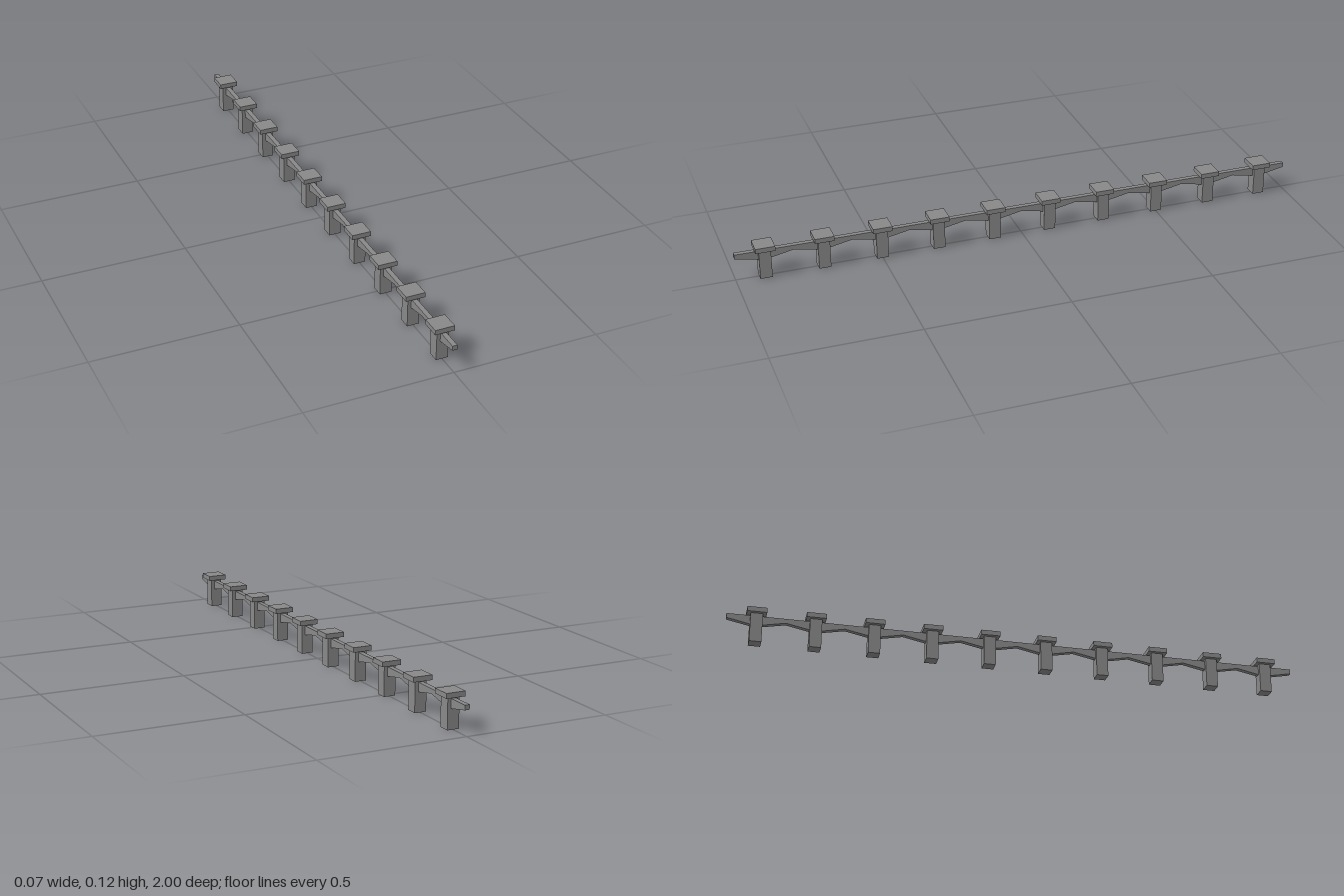
import * as THREE from 'three';

export function createModel() {
  const group = new THREE.Group();
  const material = new THREE.MeshStandardMaterial({ color: 0x888888, flatShading: true });
  const count = 10, bay = 0.2;
  const postWidth = 0.041, postHeight = 0.104;
  const capWidth = 0.067, capHeight = 0.017;
  const railWidth = 0.017, railTop = 0.099;

  const add = (parent, name, geometry, y = 0) => {
    const mesh = new THREE.Mesh(geometry, material);
    mesh.name = name;
    mesh.position.y = y;
    parent.add(mesh);
  };

  // One side of a tapered rail, running from the post face to mid-span
  const shape = new THREE.Shape();
  [[0.02, railTop], [0.02, 0.067], [0.1, 0.083], [0.1, railTop]]
    .forEach(([z, y], i) => (i ? shape.lineTo(z, y) : shape.moveTo(z, y)));
  const arm = new THREE.ExtrudeGeometry(shape, { depth: railWidth, bevelEnabled: false });
  arm.translate(0, 0, -railWidth / 2);
  const frontArm = arm.clone().rotateY(-Math.PI / 2);
  const backArm = arm.clone().rotateY(Math.PI / 2);

  const post = new THREE.BoxGeometry(postWidth, postHeight, postWidth);
  const cap = new THREE.BoxGeometry(capWidth, capHeight, capWidth);

  // Row of identical capped posts joined by the rails
  for (let i = 0; i < count; i++) {
    const unit = new THREE.Group();
    unit.name = `bay${i + 1}`;
    unit.position.z = (i - (count - 1) / 2) * bay;
    add(unit, 'post', post, postHeight / 2);
    add(unit, 'cap', cap, postHeight + capHeight / 2);
    add(unit, 'frontRail', frontArm);
    add(unit, 'backRail', backArm);
    group.add(unit);
  }
  return group;
}
